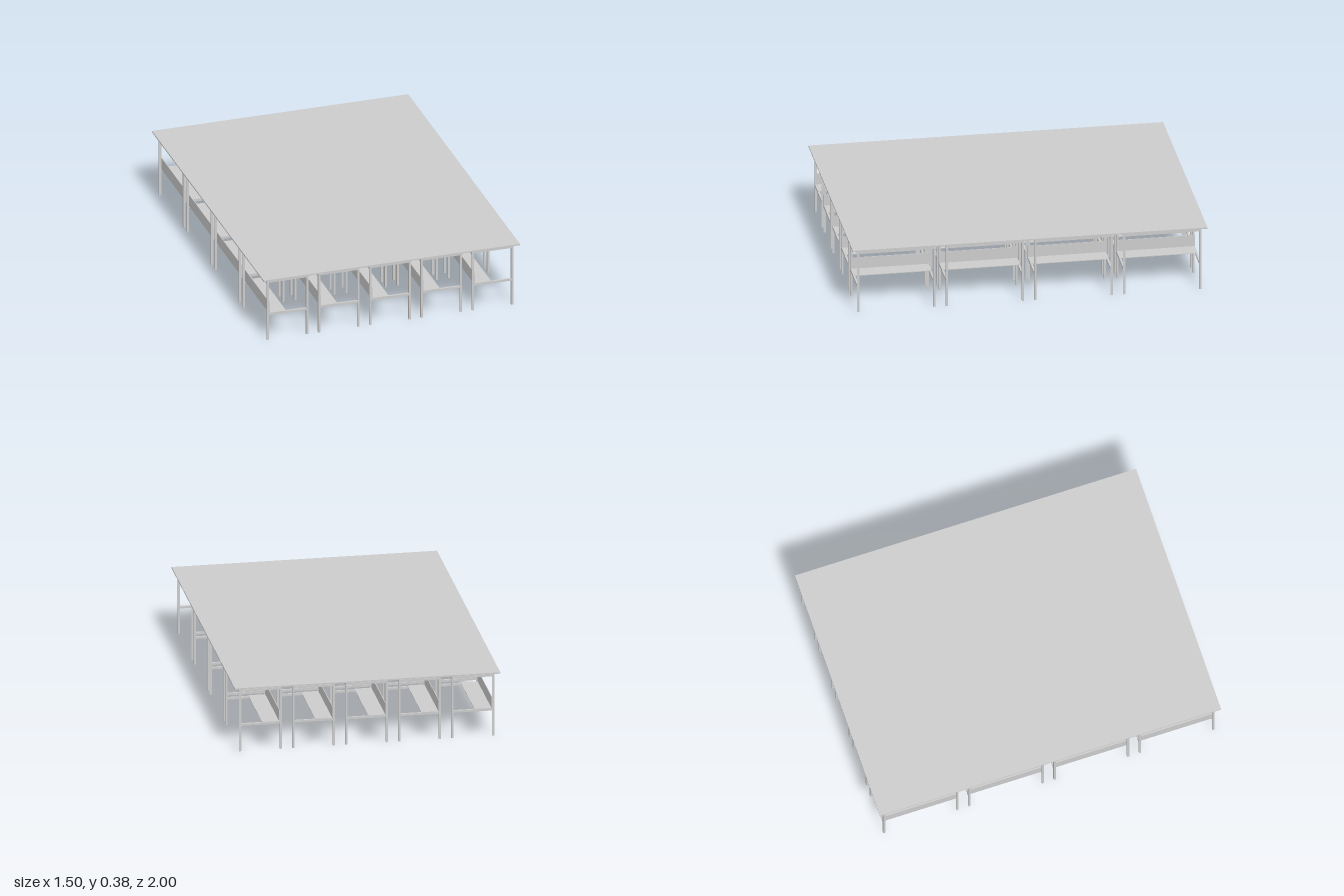
import * as THREE from 'three';

const COLS = 5, ROWS = 4;          // desks across and deep
const W = 0.3, D = 0.5, H = 0.384; // size of one desk
const TOP = 0.008, BAR = 0.012;    // desktop thickness, square tube size
const LX = 0.115, LZ = 0.215;      // leg offsets from the desk centre

const material = new THREE.MeshStandardMaterial({ color: 0xcccccc });

function box(parent, name, size, pos) {
  const mesh = new THREE.Mesh(new THREE.BoxGeometry(...size), material);
  mesh.name = name;
  mesh.position.set(...pos);
  parent.add(mesh);
}

function createDesk() {
  const desk = new THREE.Group();
  desk.name = 'desk';
  box(desk, 'desktop', [W, TOP, D], [0, H - TOP / 2, 0]);

  const legH = H - TOP, railY = 0.358, lowY = 0.156;
  for (const s of [-1, 1]) {
    // legs
    for (const t of [-1, 1]) box(desk, 'leg', [BAR, legH, BAR], [s * LX, legH / 2, t * LZ]);
    // rails under the desktop
    box(desk, 'sideRail', [BAR, BAR, 2 * LZ - BAR], [s * LX, railY, 0]);
    box(desk, 'endRail', [2 * LX - BAR, BAR, BAR], [0, railY, s * LZ]);
    // low rails carrying the shelf
    box(desk, 'lowRail', [2 * LX - BAR, BAR, BAR], [0, lowY, s * LZ]);
  }

  // narrow shelf with an upright back plate along the -x legs
  const inner = -LX + BAR / 2, shelfW = 0.1, shelfL = 2 * LZ + BAR;
  box(desk, 'shelf', [shelfW, 0.004, shelfL], [inner + shelfW / 2, 0.163, 0]);
  box(desk, 'shelfBack', [0.004, 0.07, shelfL], [inner + 0.002, 0.196, 0]);
  return desk;
}

export function createModel() {
  const model = new THREE.Group();
  model.name = 'deskBlock';
  for (let i = 0; i < COLS; i++) {
    for (let j = 0; j < ROWS; j++) {
      const desk = createDesk();
      desk.position.set((i - (COLS - 1) / 2) * W, 0, (j - (ROWS - 1) / 2) * D);
      model.add(desk);
    }
  }
  return model;
}
